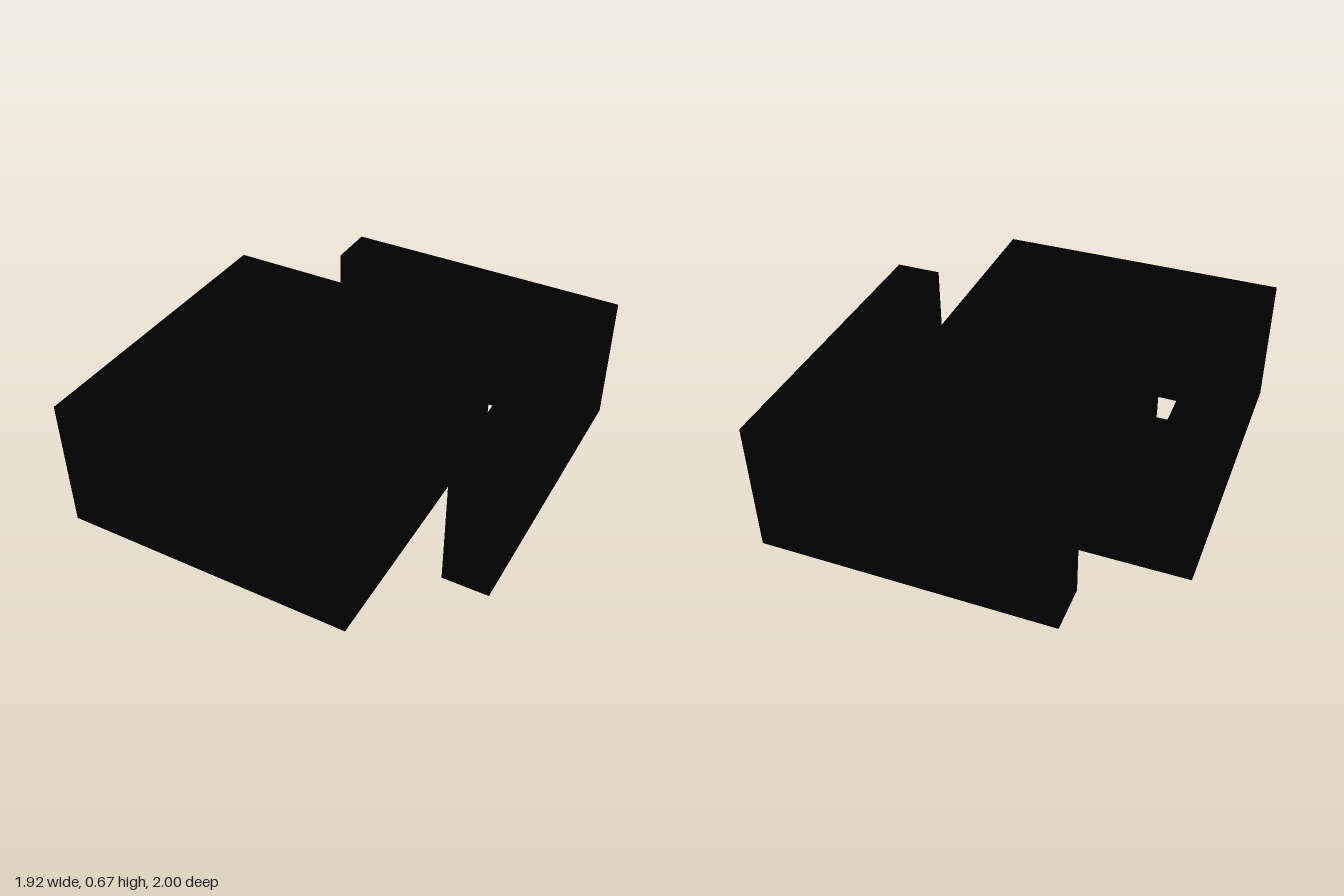
import * as THREE from 'three';

const HEIGHT = 0.67;

// Corners are plan coordinates [x, z]; the shape's y is -z. They are listed
// clockwise, so reverse them to give outlines the winding the extrusion expects.
const toPoints = (corners) => corners.map(([x, z]) => new THREE.Vector2(x, -z)).reverse();

function extrudePlan(name, material, outline, holes = []) {
  const shape = new THREE.Shape(toPoints(outline));
  shape.holes = holes.map((hole) => new THREE.Path(toPoints(hole)));
  const geometry = new THREE.ExtrudeGeometry(shape, { depth: HEIGHT, bevelEnabled: false });
  geometry.rotateX(-Math.PI / 2);
  const mesh = new THREE.Mesh(geometry, material);
  mesh.name = name;
  return mesh;
}

export function createModel() {
  const black = new THREE.MeshStandardMaterial({ color: 0x000000 });
  black.name = 'black';

  const model = new THREE.Group();
  model.name = 'blockEmblem';

  // Large square frame with an inner square ring in one corner
  model.add(extrudePlan('nestedFrame', black,
    [[-0.96, -0.52], [0.5, -0.52], [0.5, 1], [-0.96, 1]],
    [
      // L-shaped gap between the frame and the inner ring
      [[-0.73, -0.28], [-0.5, -0.28], [-0.5, 0.52], [0.27, 0.52], [0.27, 0.76], [-0.73, 0.76]],
      // Square opening
      [[-0.27, -0.28], [0.27, -0.28], [0.27, 0.28], [-0.27, 0.28]],
    ]));

  // Separate corner wall behind and to the left
  model.add(extrudePlan('cornerWall', black,
    [[-0.5, -1], [0.96, -1], [0.96, 0.52], [0.73, 0.52], [0.73, -0.76], [-0.5, -0.76]]));

  return model;
}
